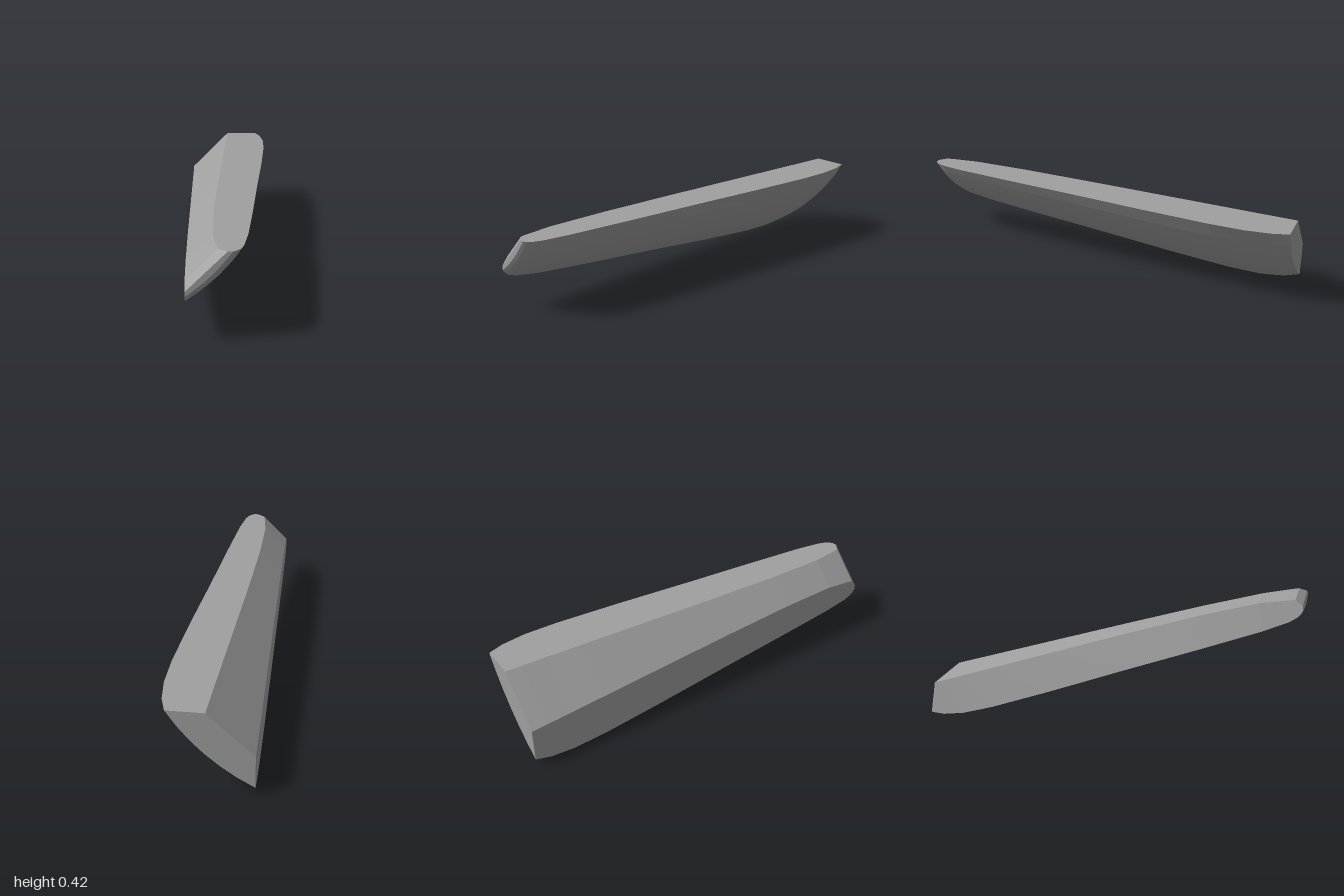
import * as THREE from 'three';

const LEFT = -0.209, TOP = 0.418, N = 6;

// Cross-sections from back to front: z, inner reach, outer reach, outer bulge
const SECTIONS = [
  [-1, 0.21, 0.38, 0.026],
  [-0.92, 0.205, 0.405, 0.028],
  [-0.8, 0.198, 0.418, 0.029],
  [-0.63, 0.187, 0.413, 0.029],
  [-0.3, 0.166, 0.383, 0.028],
  [0.1, 0.141, 0.34, 0.025],
  [0.5, 0.12, 0.3, 0.021],
  [0.8, 0.116, 0.267, 0.017],
  [0.93, 0.131, 0.245, 0.014],
  [0.97, 0.137, 0.23, 0.012],
  [0.99, 0.163, 0.213, 0.01],
  [1, 0.176, 0.198, 0.008],
];

// Closed outline: curved outer side going up, straight chamfer coming back down
function ring([z, inner, outer, bulge]) {
  const pts = [];
  for (let j = 0; j <= N; j++) {
    const t = j / N, b = bulge * 4 * t * (1 - t);
    pts.push([LEFT + outer * t + b, TOP - outer * (1 - t) - b, z]);
  }
  for (let j = N; j >= 0; j--) {
    const t = j / N;
    pts.push([LEFT + inner * t, TOP - inner * (1 - t), z]);
  }
  return pts;
}

function buildShell() {
  const rings = SECTIONS.map(ring), count = 2 * N + 2, pos = [];
  const quad = (a, b, c, d) => pos.push(...a, ...b, ...c, ...a, ...c, ...d);
  // Skin between neighbouring sections
  for (let i = 0; i < rings.length - 1; i++) {
    for (let j = 0; j < count; j++) {
      const k = (j + 1) % count;
      quad(rings[i][j], rings[i][k], rings[i + 1][k], rings[i + 1][j]);
    }
  }
  // End caps, spanned from the outer curve to the chamfer
  const back = rings[0], front = rings[rings.length - 1];
  for (let j = 0; j < N; j++) {
    const m = count - 1 - j;
    quad(front[j], front[j + 1], front[m - 1], front[m]);
    quad(back[m], back[m - 1], back[j + 1], back[j]);
  }
  const geo = new THREE.BufferGeometry();
  geo.setAttribute('position', new THREE.Float32BufferAttribute(pos, 3));
  geo.computeVertexNormals(); // unshared corners give flat facets
  return geo;
}

export function createModel() {
  const group = new THREE.Group();
  group.name = 'taperedCornerPiece';
  const grey = new THREE.MeshStandardMaterial({ color: 0xa0a0a0 });
  grey.name = 'plain grey';
  const shell = new THREE.Mesh(buildShell(), grey);
  shell.name = 'taperedShell';
  group.add(shell);
  return group;
}
